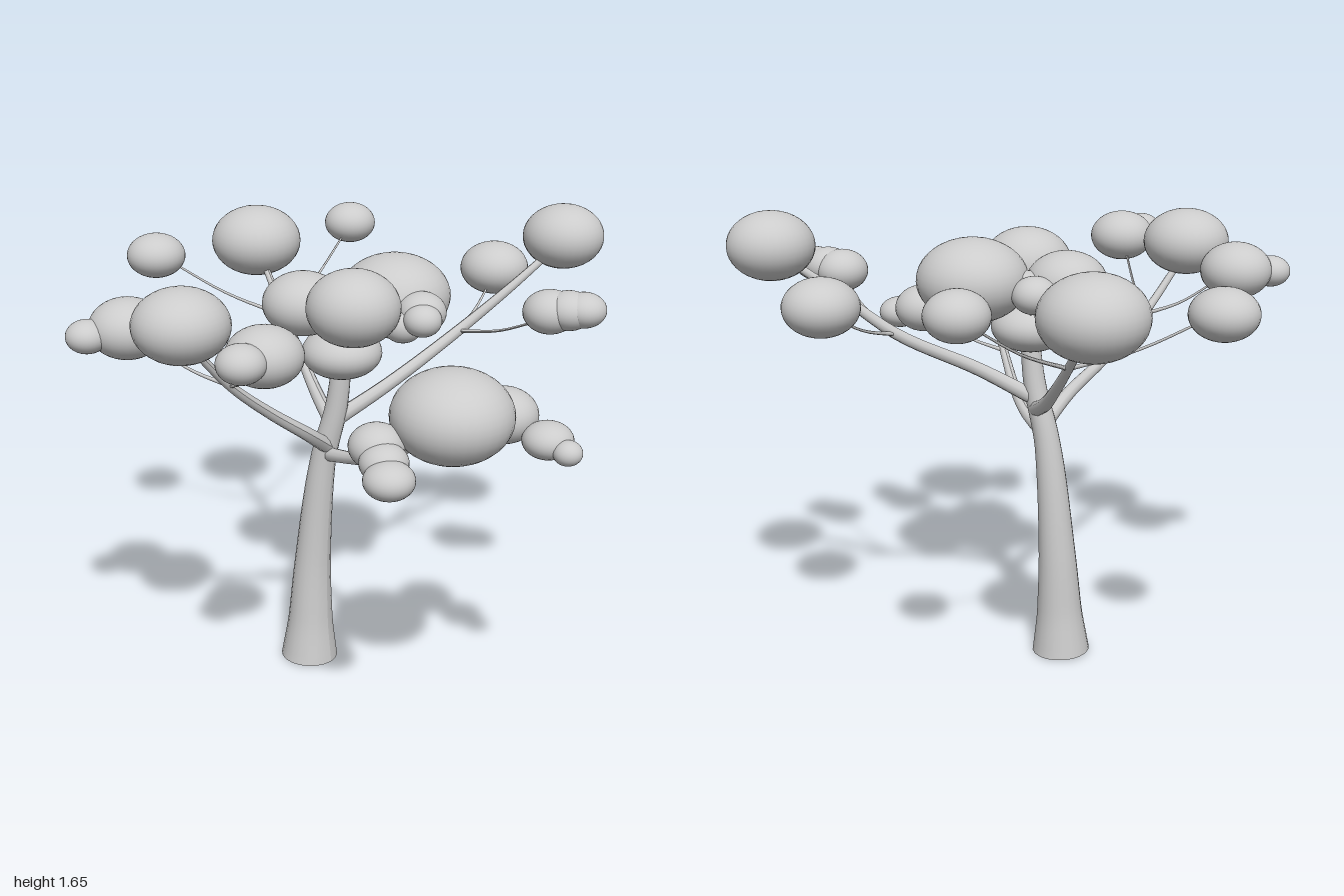
import * as THREE from 'three';

const bark = new THREE.MeshStandardMaterial({ color: 0xcccccc, side: THREE.DoubleSide });
const leaf = new THREE.MeshStandardMaterial({ color: 0xcccccc });

// Tapered tube through points given as [x, y, z, radius]
function limb(name, pts, sides = 10, steps = 20) {
  const curve = new THREE.CatmullRomCurve3(pts.map(p => new THREE.Vector3(p[0], p[1], p[2])));
  const geo = new THREE.TubeGeometry(curve, steps, 1, sides);
  const pos = geo.attributes.position;
  const v = new THREE.Vector3();
  for (let i = 0; i <= steps; i++) {
    const c = curve.getPointAt(i / steps);
    const t = curve.getUtoTmapping(i / steps) * (pts.length - 1);
    const k = Math.min(Math.floor(t), pts.length - 2);
    const r = THREE.MathUtils.lerp(pts[k][3], pts[k + 1][3], t - k);
    for (let j = 0; j <= sides; j++) {
      const n = i * (sides + 1) + j;
      v.fromBufferAttribute(pos, n).sub(c).multiplyScalar(r).add(c);
      pos.setXYZ(n, v.x, v.y, v.z);
    }
  }
  geo.computeVertexNormals();
  const mesh = new THREE.Mesh(geo, bark);
  mesh.name = name;
  return mesh;
}

// Flattened leaf cluster: [x, y, z, horizontal radius, vertical radius]
function cluster([x, y, z, r, h]) {
  const mesh = new THREE.Mesh(new THREE.SphereGeometry(1, 32, 20), leaf);
  mesh.position.set(x, y, z);
  mesh.scale.set(r, h, r);
  mesh.name = 'leafCluster';
  return mesh;
}

export function createModel() {
  const tree = new THREE.Group();
  tree.name = 'tree';

  // Leaning trunk with a flared, open foot
  tree.add(limb('trunk', [
    [-0.115, 0, 0.06, 0.105], [-0.112, 0.15, 0.055, 0.083], [-0.105, 0.4, 0.046, 0.066],
    [-0.065, 0.8, 0.033, 0.046], [-0.02, 1.0, 0.015, 0.04], [0.0, 1.15, 0.01, 0.035],
    [0.02, 1.36, 0.0, 0.02],
  ], 20, 40));

  // Main branches; each splits into thin twigs at its fork
  const branches = [
    {
      name: 'leftBranch', fork: [-0.46, 1.2, -0.235],
      path: [[-0.03, 0.92, 0.01, 0.028], [-0.18, 0.99, -0.08, 0.024], [-0.3, 1.07, -0.15, 0.02],
        [-0.46, 1.2, -0.235, 0.016], [-0.64, 1.36, -0.33, 0.012]],
      twigs: [[-0.85, 1.4, -0.02], [-0.52, 1.42, -0.68]],
    },
    {
      name: 'frontBranch', fork: [-0.085, 1.2, 0.49],
      path: [[-0.04, 0.86, 0.04, 0.028], [-0.03, 0.95, 0.17, 0.024], [-0.06, 1.06, 0.32, 0.02],
        [-0.085, 1.2, 0.49, 0.016], [-0.1, 1.38, 0.66, 0.012]],
      twigs: [[-0.32, 1.35, 0.63], [0.22, 1.39, 0.69]],
    },
    {
      name: 'rightBranch', fork: [0.41, 1.01, 0.235],
      path: [[-0.03, 0.83, 0.04, 0.026], [0.1, 0.86, 0.08, 0.022], [0.24, 0.91, 0.145, 0.02],
        [0.41, 1.01, 0.235, 0.016], [0.62, 1.15, 0.34, 0.012]],
      twigs: [[0.66, 1.13, 0.09], [0.55, 1.14, 0.53]],
    },
    {
      name: 'backBranch', fork: [0.2, 1.22, -0.42],
      path: [[-0.02, 0.96, 0.01, 0.028], [0.09, 1.07, -0.15, 0.024], [0.2, 1.22, -0.42, 0.02],
        [0.32, 1.37, -0.58, 0.016], [0.41, 1.5, -0.73, 0.012]],
      twigs: [[0.15, 1.34, -0.72], [0.57, 1.34, -0.38]],
    },
    {
      name: 'crownBranch', fork: [0.01, 1.24, 0],
      path: [[0, 1.15, 0.01, 0.025], [0.05, 1.26, -0.08, 0.018], [0.1, 1.35, -0.16, 0.012]],
      twigs: [[-0.1, 1.34, 0.07], [0.11, 1.38, 0.09], [0.27, 1.36, -0.06], [-0.12, 1.34, -0.08]],
    },
  ];
  for (const { name, fork, path, twigs } of branches) {
    const group = new THREE.Group();
    group.name = name;
    group.add(limb('branch', path));
    for (const end of twigs) {
      const mid = fork.map((f, i) => (f + end[i]) / 2 - (i === 1 ? 0.02 : 0));
      group.add(limb('twig', [[...fork, 0.008], [...mid, 0.005], [...end, 0.004]], 5, 10));
    }
    tree.add(group);
  }

  // Foliage grouped by the branch that carries it
  const foliage = {
    leftFoliage: [[-0.71, 1.43, -0.37, 0.172, 0.133], [-0.89, 1.415, 0, 0.11, 0.083], [-0.53, 1.46, -0.735, 0.1, 0.078]],
    backFoliage: [[0.135, 1.375, -0.76, 0.127, 0.097], [0.42, 1.535, -0.76, 0.146, 0.115],
      [0.6, 1.375, -0.365, 0.093, 0.075], [0.66, 1.385, -0.385, 0.085, 0.067], [0.705, 1.39, -0.405, 0.078, 0.06]],
    rightFoliage: [[0.695, 1.24, 0.37, 0.19, 0.145], [0.695, 1.155, 0.07, 0.112, 0.09],
      [0.86, 1.11, 0.075, 0.082, 0.06], [0.945, 1.095, 0.1, 0.047, 0.04],
      [0.555, 1.17, 0.56, 0.086, 0.07], [0.615, 1.145, 0.605, 0.075, 0.06], [0.67, 1.12, 0.655, 0.078, 0.058]],
    frontFoliage: [[-0.1, 1.45, 0.69, 0.157, 0.12], [-0.37, 1.385, 0.66, 0.127, 0.1], [-0.43, 1.375, 0.78, 0.07, 0.055],
      [0.25, 1.425, 0.705, 0.12, 0.093], [0.265, 1.435, 0.825, 0.076, 0.06]],
    crownFoliage: [[0.095, 1.39, -0.17, 0.195, 0.146], [0.12, 1.41, 0.1, 0.16, 0.13], [-0.115, 1.38, 0.075, 0.142, 0.11],
      [0.01, 1.215, 0.02, 0.14, 0.09], [-0.13, 1.36, -0.085, 0.08, 0.065], [-0.05, 1.37, -0.06, 0.08, 0.06],
      [0.27, 1.38, -0.08, 0.085, 0.07], [0.31, 1.37, -0.03, 0.065, 0.055], [0.23, 1.34, -0.03, 0.07, 0.06]],
  };
  for (const [name, list] of Object.entries(foliage)) {
    const group = new THREE.Group();
    group.name = name;
    list.forEach(c => group.add(cluster(c)));
    tree.add(group);
  }
  return tree;
}
